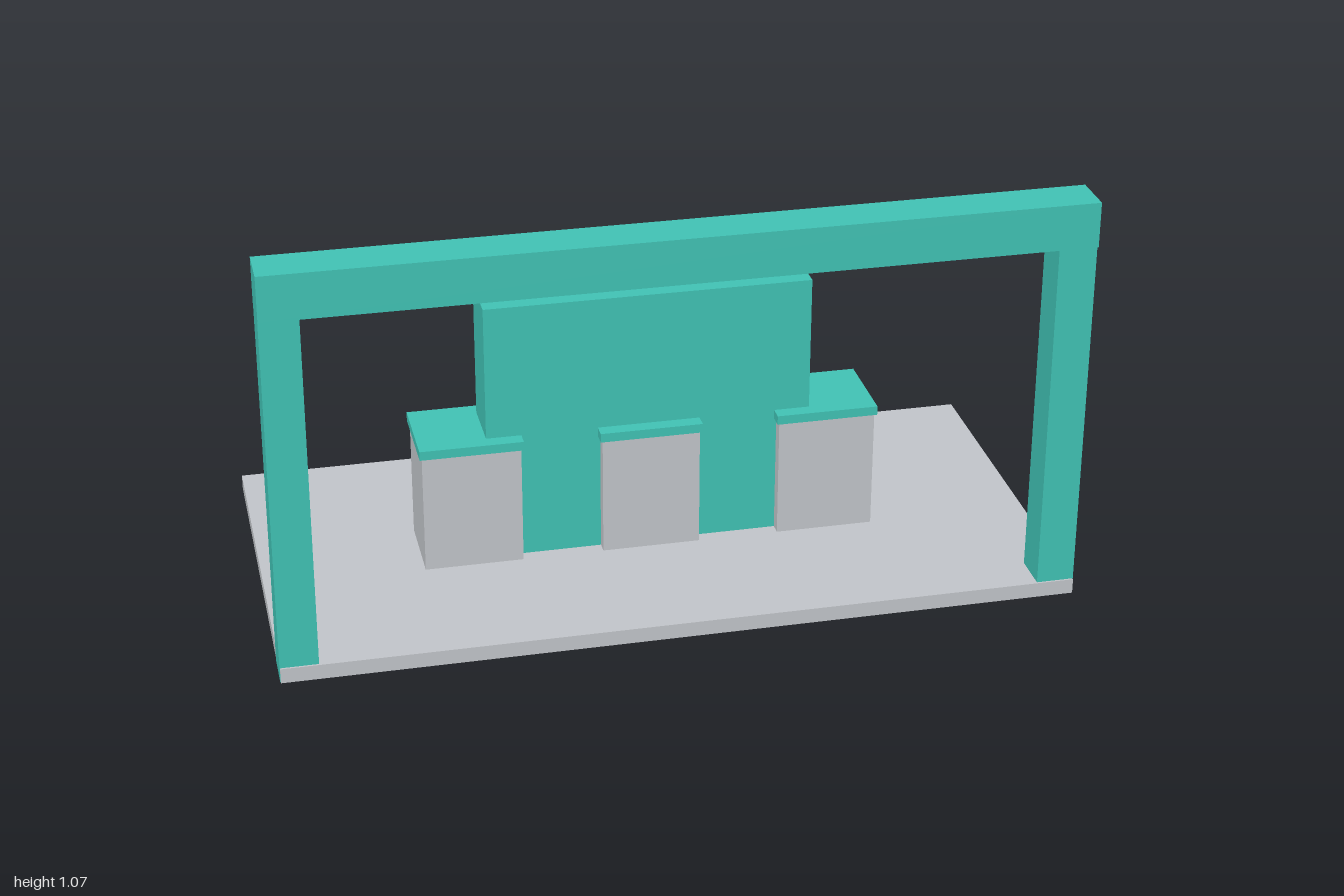
import * as THREE from 'three';

export function createModel() {
  const model = new THREE.Group();
  model.name = 'counterStand';

  const teal = new THREE.MeshStandardMaterial({ color: 0x40c1b3 });
  teal.name = 'teal';
  const grey = new THREE.MeshStandardMaterial({ color: 0xc0c3c8 });
  grey.name = 'light grey';

  // Adds a box given its extents along each axis
  function addBox(name, material, [x0, x1], [y0, y1], [z0, z1], parent = model) {
    const mesh = new THREE.Mesh(new THREE.BoxGeometry(x1 - x0, y1 - y0, z1 - z0), material);
    mesh.position.set((x0 + x1) / 2, (y0 + y1) / 2, (z0 + z1) / 2);
    mesh.name = name;
    parent.add(mesh);
    return mesh;
  }

  // Floor slab, a hair inside the posts so coincident faces do not flicker
  addBox('floor', grey, [-0.999, 0.999], [0.001, 0.04], [-0.502, 0.5]);

  // Front archway: two posts and a slightly deeper crossbeam
  const arch = new THREE.Group();
  arch.name = 'archway';
  model.add(arch);
  addBox('rightPost', teal, [-1, -0.905], [0, 0.955], [0.395, 0.495], arch);
  addBox('leftPost', teal, [0.905, 1], [0, 0.955], [0.395, 0.495], arch);
  addBox('crossbeam', teal, [-1, 1], [0.955, 1.07], [0.388, 0.503], arch);

  // Central display wall
  addBox('displayWall', teal, [-0.421, 0.417], [0, 0.736], [-0.077, 0.073]);

  // Three counters, each a cabinet with an overhanging top
  ['rightCounter', 'middleCounter', 'leftCounter'].forEach((name, i) => {
    const counter = new THREE.Group();
    counter.name = name;
    counter.position.x = -0.003 + (i - 1) * 0.46;
    addBox('cabinet', grey, [-0.126, 0.126], [0.04, 0.356], [-0.106, 0.104], counter);
    addBox('countertop', teal, [-0.132, 0.132], [0.356, 0.38], [-0.115, 0.11], counter);
    model.add(counter);
  });

  return model;
}
